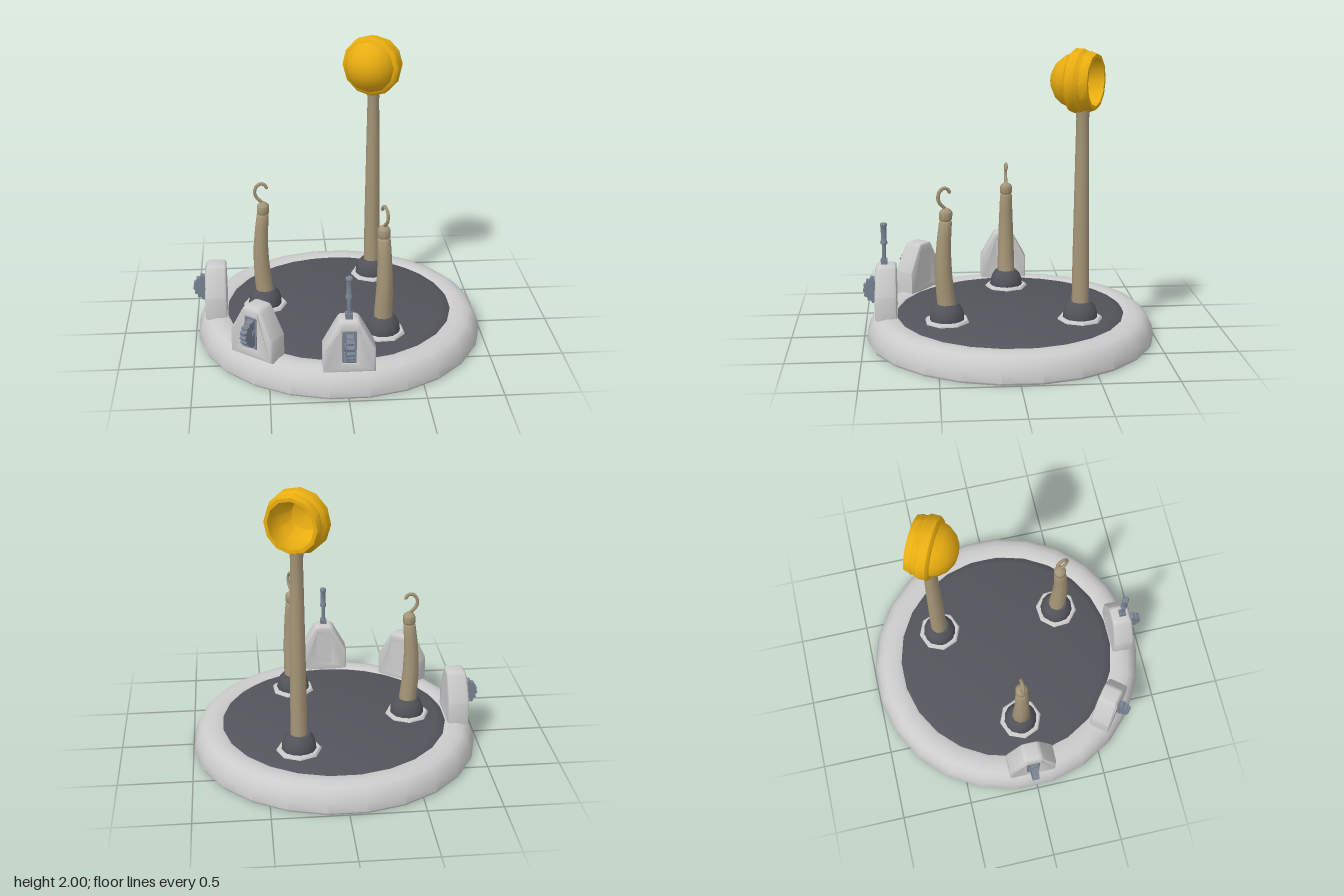
import * as THREE from 'three';
import { toCreasedNormals } from 'three/addons/utils/BufferGeometryUtils.js';

const mat = (color) => new THREE.MeshStandardMaterial({ color });
const grey = mat(0xcccccc), dark = mat(0x53545b), tan = mat(0xa59678);
const steel = mat(0x7a8494), yellow = mat(0xe8ad10);

function add(parent, name, geometry, material, x = 0, y = 0, z = 0) {
  const mesh = new THREE.Mesh(geometry, material);
  mesh.name = name;
  mesh.position.set(x, y, z);
  parent.add(mesh);
  return mesh;
}

function lathe(points, sides, crease = 0.7) {
  const g = new THREE.LatheGeometry(points.map(([r, y]) => new THREE.Vector2(r, y)), sides);
  return toCreasedNormals(g, crease);
}

// Ball socket with an octagonal collar, set into the deck
function addSocket(parent, turn) {
  const collar = add(parent, 'socketCollar', lathe(
    [[0.13, 0.16], [0.152, 0.16], [0.152, 0.192], [0.142, 0.203], [0.12, 0.203], [0.12, 0.16], [0.13, 0.16]], 8), grey);
  collar.rotation.y = turn;
  add(parent, 'socketBall', lathe(
    [[0, 0.085], [0.06, 0.1], [0.1, 0.14], [0.118, 0.19], [0.115, 0.235], [0.1, 0.28], [0.075, 0.308], [0, 0.31]], 14), dark);
}

// Tapered post, bent sideways by a sine rule
function postGeometry(profile, y0, y1, bend) {
  const g = new THREE.LatheGeometry(profile.map(([r, y]) => new THREE.Vector2(r, y)), 10);
  const p = g.attributes.position;
  for (let i = 0; i < p.count; i++) {
    const t = THREE.MathUtils.clamp((p.getY(i) - y0) / (y1 - y0), 0, 1);
    p.setX(i, p.getX(i) + bend * Math.sin(Math.PI * t));
  }
  return toCreasedNormals(g, 0.7);
}

// Short post with a hook; local +x is the side it bows toward
function hookPost(name, x, z, turn, collarTurn) {
  const post = new THREE.Group();
  post.name = name;
  post.position.set(x, 0, z);
  post.rotation.y = turn;
  addSocket(post, collarTurn);
  const profile = [[0, 0.28], [0.062, 0.28], [0.06, 0.4], [0.056, 0.52], [0.052, 0.64],
    [0.047, 0.76], [0.043, 0.87], [0.036, 0.878], [0.043, 0.888], [0.043, 0.935], [0.034, 0.95], [0.012, 0.965], [0, 0.965]];
  add(post, 'post', postGeometry(profile, 0.28, 0.9, 0.022), tan);
  const curve = new THREE.CatmullRomCurve3([[0, 0.94], [0.012, 0.967], [0.04, 0.995], [0.054, 1.03],
    [0.045, 1.073], [0.015, 1.096], [-0.012, 1.09], [-0.026, 1.068]].map(([a, b]) => new THREE.Vector3(a, b, 0)));
  add(post, 'hook', new THREE.TubeGeometry(curve, 20, 0.012, 6), tan);
  add(post, 'hookTip', new THREE.SphereGeometry(0.012, 6, 4), tan, -0.026, 1.068, 0);
  return post;
}

// Tall pole carrying an open cup
function cupPole() {
  const pole = new THREE.Group();
  pole.name = 'cupPole';
  pole.position.set(0.285, 0, -0.46);
  addSocket(pole, 0);
  add(pole, 'pole', postGeometry([[0, 0.28], [0.058, 0.28], [0.056, 0.6], [0.051, 0.95],
    [0.046, 1.3], [0.042, 1.55], [0.045, 1.57], [0.045, 1.62], [0, 1.62]], 0.28, 1.6, 0), tan);
  const cup = add(pole, 'cup', lathe([[0, -0.305], [0.07, -0.292], [0.125, -0.258], [0.163, -0.21], [0.18, -0.165],
    [0.195, -0.16], [0.21, -0.145], [0.21, -0.085], [0.198, -0.07], [0.192, -0.055], [0.196, -0.04], [0.182, 0],
    [0.158, 0], [0.165, -0.08], [0.15, -0.16], [0.1, -0.235], [0, -0.27]], 12, 0.6), yellow, 0.04, 1.79, -0.08);
  cup.quaternion.setFromUnitVectors(new THREE.Vector3(0, 1, 0), new THREE.Vector3(0.47, 0, -0.88).normalize());
  return pole;
}

// Notched wheel lying in the x/y plane
function wheelGeometry(width) {
  const pts = [], teeth = 16;
  for (let i = 0; i < teeth * 4; i++) {
    const a = (i / (teeth * 4)) * Math.PI * 2, r = i % 4 < 2 ? 0.098 : 0.088;
    pts.push(new THREE.Vector2(Math.cos(a) * r, Math.sin(a) * r));
  }
  const g = new THREE.ExtrudeGeometry(new THREE.Shape(pts), { depth: width, bevelEnabled: false });
  return g.translate(0, 0, -width / 2).rotateY(Math.PI / 2);
}

// Wheel housing; local +z faces away from the deck centre
function housing(name, x, z, turn) {
  const group = new THREE.Group();
  group.name = name;
  group.position.set(x, 0, z);
  group.rotation.y = turn;
  const shape = new THREE.Shape();
  shape.moveTo(-0.168, 0.16);
  shape.lineTo(0.168, 0.16);
  shape.lineTo(0.168, 0.325);
  shape.lineTo(0.075, 0.495);
  shape.quadraticCurveTo(0.062, 0.52, 0.04, 0.52);
  shape.lineTo(-0.04, 0.52);
  shape.quadraticCurveTo(-0.062, 0.52, -0.075, 0.495);
  shape.lineTo(-0.168, 0.325);
  shape.closePath();
  const slot = new THREE.Path();
  slot.moveTo(-0.043, 0.23);
  slot.lineTo(-0.043, 0.45);
  slot.lineTo(0.043, 0.45);
  slot.lineTo(0.043, 0.23);
  slot.closePath();
  shape.holes.push(slot);
  const body = new THREE.ExtrudeGeometry(shape, {
    depth: 0.115, bevelThickness: 0.017, bevelSize: 0.017, bevelOffset: -0.017, bevelSegments: 2, curveSegments: 4 });
  body.translate(0, 0, -0.0575);
  // Lean the upper front edge back a little
  const p = body.attributes.position;
  for (let i = 0; i < p.count; i++) {
    if (p.getZ(i) > 0 && p.getY(i) > 0.46) p.setZ(i, p.getZ(i) - (p.getY(i) - 0.46) * 0.3);
  }
  add(group, 'housingBody', toCreasedNormals(body, 0.6), grey);
  add(group, 'backPlate', new THREE.BoxGeometry(0.13, 0.262, 0.03), grey, 0, 0.34, -0.0585);
  // Steel lining round the slot
  for (const s of [-1, 1]) {
    add(group, 'slotSide', new THREE.BoxGeometry(0.012, 0.22, 0.11), steel, s * 0.038, 0.34, 0.015);
    add(group, 'slotEnd', new THREE.BoxGeometry(0.086, 0.012, 0.11), steel, 0, 0.34 + s * 0.105, 0.015);
  }
  add(group, 'wheel', wheelGeometry(0.048), steel, 0, 0.34, 0.06);
  const hub = add(group, 'wheelHub', new THREE.CylinderGeometry(0.03, 0.03, 0.064, 10), steel, 0, 0.34, 0.06);
  hub.rotation.z = Math.PI / 2;
  return group;
}

export function createModel() {
  const model = new THREE.Group();
  model.name = 'hookAndCupStand';

  // Rounded base ring, open underneath
  const ring = add(model, 'baseRing', lathe([[0.8, 0], [0.985, 0], [0.994, 0.015], [0.978, 0.08], [0.955, 0.13],
    [0.92, 0.162], [0.87, 0.175], [0.81, 0.175], [0.785, 0.165], [0.785, 0.06], [0.8, 0]], 24, 0.8), grey, 0.008, 0, -0.01);
  ring.rotation.y = Math.PI / 24;

  // Dark deck with a sloped edge
  add(model, 'deck', lathe([[0, 0.13], [0.75, 0.13], [0.79, 0.12], [0.79, 0.155], [0.775, 0.168],
    [0.73, 0.183], [0, 0.187]], 32), dark, 0.008, 0, -0.012);

  model.add(hookPost('leftHookPost', -0.51, -0.02, Math.PI, 0));
  model.add(hookPost('frontHookPost', 0.27, 0.435, -1.2, 0.1));
  model.add(cupPole());

  model.add(housing('sideHousing', -0.85, -0.02, -Math.PI / 2));
  model.add(housing('cornerHousing', -0.57, 0.625, -0.67));
  const front = housing('leverHousing', 0.008, 0.845, 0);
  model.add(front);

  // Upright lever on the front housing
  add(front, 'leverBlock', new THREE.BoxGeometry(0.046, 0.05, 0.046), steel, 0, 0.53, 0.008);
  add(front, 'lever', lathe([[0, 0.54], [0.014, 0.54], [0.014, 0.655], [0.024, 0.66], [0.024, 0.675], [0.019, 0.685],
    [0.019, 0.775], [0.024, 0.785], [0.024, 0.798], [0.018, 0.805], [0, 0.805]], 10), steel, 0, 0, 0.008);
  return model;
}
